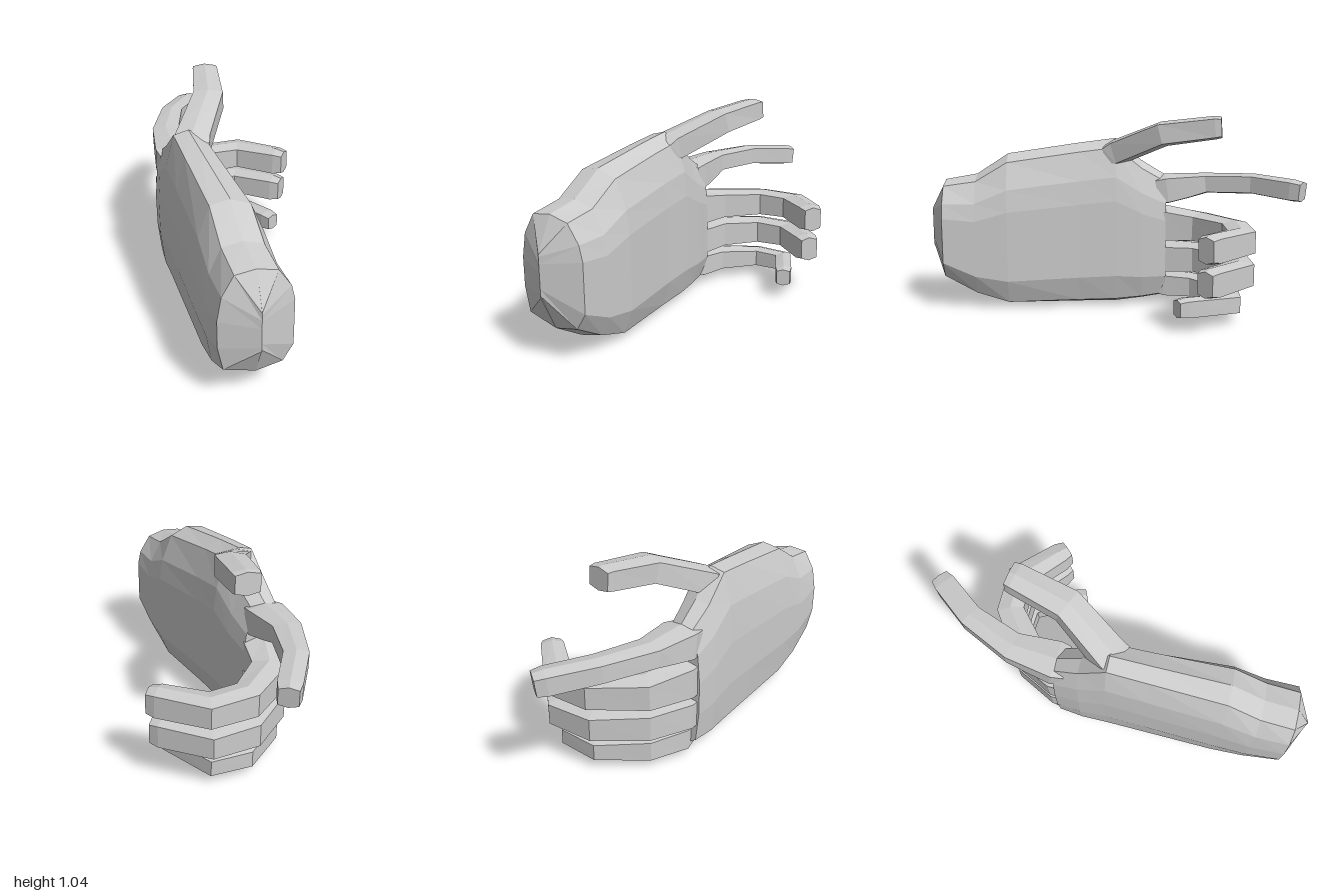
import * as THREE from 'three';

const material = new THREE.MeshStandardMaterial({ color: 0xcccccc, flatShading: true });

// Skin a list of equal-sized rings (counter-clockwise seen from the first ring) and cap the far end.
function loft(name, rings) {
  const pos = [];
  const tri = (...pts) => pts.forEach((p) => pos.push(p.x, p.y, p.z));
  const n = rings[0].length;
  for (let i = 0; i < rings.length - 1; i++) {
    for (let j = 0; j < n; j++) {
      const k = (j + 1) % n;
      const a = rings[i][j], b = rings[i][k], c = rings[i + 1][k], d = rings[i + 1][j];
      tri(a, d, b);
      tri(b, d, c);
    }
  }
  const last = rings[rings.length - 1];
  for (let j = 1; j < n - 1; j++) tri(last[0], last[j + 1], last[j]);
  const geometry = new THREE.BufferGeometry();
  geometry.setAttribute('position', new THREE.Float32BufferAttribute(pos, 3));
  geometry.computeVertexNormals();
  const mesh = new THREE.Mesh(geometry, material);
  mesh.name = name;
  return mesh;
}

// Six-sided finger along joints [x, y, z, thickness, height]; its open root sits inside the palm.
function finger(name, joints) {
  const up = new THREE.Vector3(0, 1, 0);
  const hex = [[0.5, -0.39], [0.5, 0.39], [0, 0.5], [-0.5, 0.39], [-0.5, -0.39], [0, -0.5]];
  const centres = joints.map(([x, y, z]) => new THREE.Vector3(x, y, z));
  const dir = (i) => {
    const k = Math.min(Math.max(i, 0), centres.length - 2);
    return centres[k + 1].clone().sub(centres[k]).normalize();
  };
  const rings = centres.map((c, i) => {
    const t = dir(i - 1).add(dir(i)).normalize();
    const u = t.clone().cross(up).normalize();
    const v = u.clone().cross(t);
    const [, , , w, h] = joints[i];
    return hex.map(([a, b]) => c.clone().addScaledVector(u, a * w).addScaledVector(v, b * h));
  });
  return loft(name, rings);
}

export function createModel() {
  const hand = new THREE.Group();
  hand.name = 'hand';

  // Palm: one outline (fractions of width and height) scaled along z, from a wrist ridge to the knuckles.
  const outline = [
    [1, 0.19], [1, 0.64], [0.95, 0.78], [0.78, 0.95], [0.5, 1], [0.22, 0.98],
    [0.06, 0.8], [0, 0.58], [0, 0.32], [0.07, 0.09], [0.5, 0], [0.86, 0.04],
  ];
  const sections = [ // z, bottom, top, outer x, inner x
    [1.0, 0.33, 0.53, -0.262, -0.262],
    [0.92, 0.16, 0.69, -0.43, -0.085],
    [0.75, 0.06, 0.72, -0.43, -0.085],
    [0.58, 0, 0.83, -0.425, -0.085],
    [0.2, 0, 0.885, -0.415, -0.125],
    [0, 0, 0.91, -0.41, -0.14],
    [-0.14, 0.015, 0.79, -0.41, -0.155],
    [-0.27, 0.035, 0.71, -0.395, -0.175],
  ];
  hand.add(loft('palm', sections.map(([z, y0, y1, x0, x1]) =>
    outline.map(([a, b]) => new THREE.Vector3(x0 + a * (x1 - x0), y0 + b * (y1 - y0), z)))));

  hand.add(finger('thumb', [
    [-0.255, 0.82, 0.06, 0.13, 0.1],
    [-0.25, 0.835, -0.01, 0.17, 0.14],
    [-0.095, 0.945, -0.25, 0.15, 0.13],
    [-0.035, 0.98, -0.51, 0.13, 0.12],
    [-0.03, 0.982, -0.54, 0.12, 0.11],
  ]));

  hand.add(finger('indexFinger', [
    [-0.285, 0.625, -0.22, 0.17, 0.15],
    [-0.285, 0.632, -0.28, 0.19, 0.165],
    [-0.278, 0.648, -0.39, 0.165, 0.14],
    [-0.27, 0.665, -0.5, 0.14, 0.11],
    [-0.17, 0.672, -0.74, 0.115, 0.11],
    [-0.03, 0.655, -0.92, 0.11, 0.115],
    [0, 0.65, -0.96, 0.09, 0.105],
  ]));

  // Two matching curled fingers, the lower one slightly shorter; rootY and rootH fill the knuckles.
  for (const [name, y, s, rootY, rootH] of [
    ['middleFinger', 0.43, 0, 0.44, 0.2],
    ['ringFinger', 0.26, -0.015, 0.255, 0.172],
  ]) {
    hand.add(finger(name, [
      [-0.285, rootY, -0.23, 0.2, rootH],
      [-0.28, rootY, -0.28, 0.21, rootH],
      [-0.21, y, -0.46, 0.17, 0.165],
      [-0.01 + s, y, -0.612, 0.14, 0.15],
      [0.185 + s, y, -0.615, 0.145, 0.14],
      [0.365 + s, y, -0.445, 0.115, 0.15],
      [0.4 + s, y, -0.412, 0.09, 0.13],
    ]));
  }

  hand.add(finger('littleFinger', [
    [-0.275, 0.108, -0.24, 0.15, 0.12],
    [-0.272, 0.105, -0.28, 0.17, 0.14],
    [-0.205, 0.105, -0.44, 0.14, 0.13],
    [-0.02, 0.1, -0.59, 0.1, 0.11],
    [0.15, 0.1, -0.58, 0.1, 0.105],
    [0.27, 0.115, -0.335, 0.085, 0.105],
    [0.29, 0.115, -0.29, 0.07, 0.09],
  ]));

  return hand;
}
